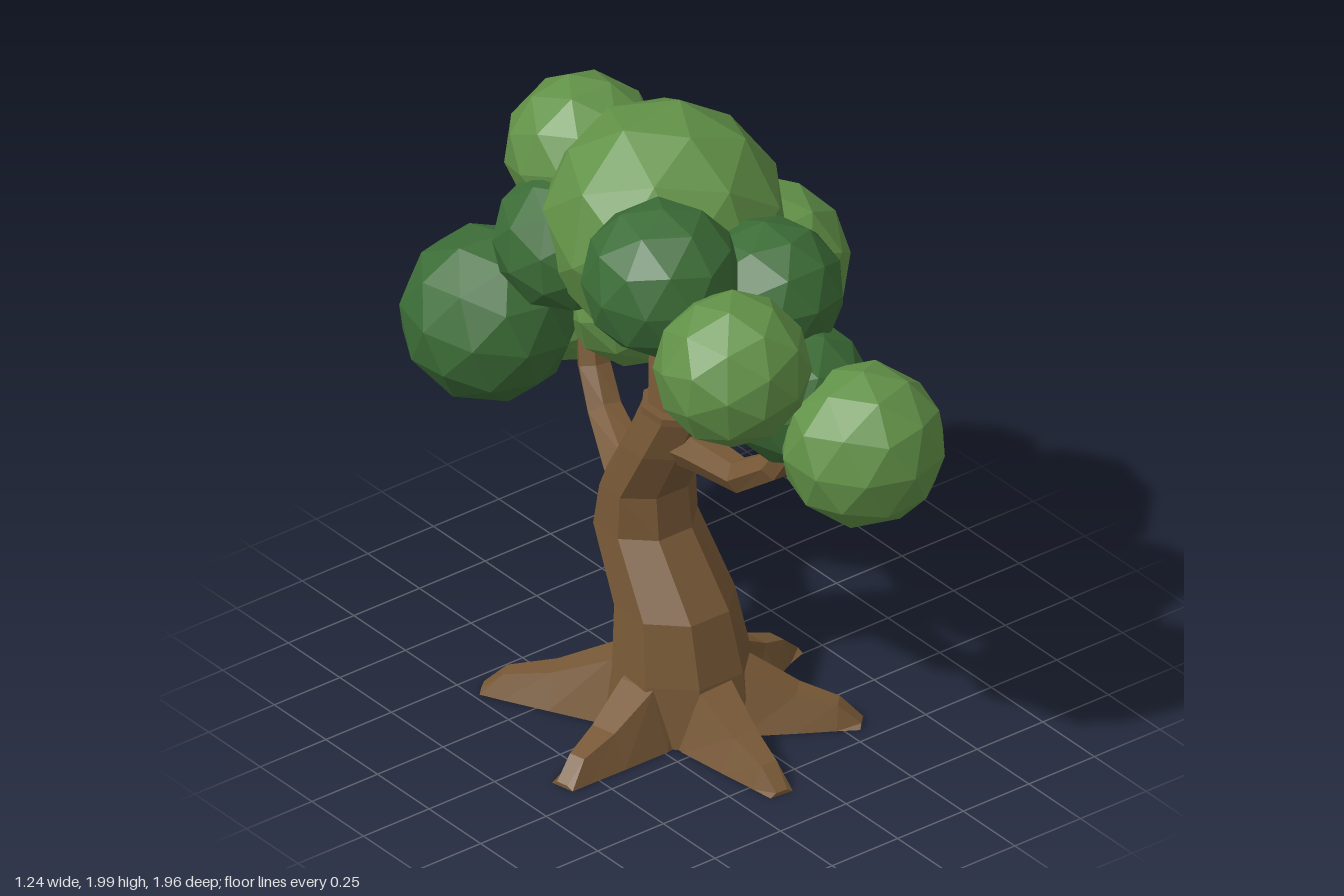
import * as THREE from 'three';

const V = (x, y, z) => new THREE.Vector3(x, y, z);

// Skin a list of equal-length rings into a closed, faceted solid
function loft(rings) {
  const pos = [];
  const tri = (...p) => p.forEach((v) => pos.push(v.x, v.y, v.z));
  const n = rings[0].length;
  for (let i = 0; i < rings.length - 1; i++) {
    const a = rings[i], b = rings[i + 1];
    for (let j = 0; j < n; j++) {
      const k = (j + 1) % n;
      tri(a[j], b[j], b[k]);
      tri(a[j], b[k], a[k]);
    }
  }
  const first = rings[0], last = rings[rings.length - 1];
  for (let j = 1; j < n - 1; j++) {
    tri(first[0], first[j], first[j + 1]);
    tri(last[0], last[j + 1], last[j]);
  }
  const g = new THREE.BufferGeometry();
  g.setAttribute('position', new THREE.Float32BufferAttribute(pos, 3));
  g.computeVertexNormals();
  return g;
}

// Horizontal eight-sided ring with flat faces to the front and sides
function trunkRing([x, y, z, rx, rz]) {
  const ring = [];
  for (let j = 0; j < 8; j++) {
    const a = ((j + 0.5) / 8) * Math.PI * 2, s = 1 / Math.cos(Math.PI / 8);
    ring.push(V(x + Math.cos(a) * rx * s, y, z + Math.sin(a) * rz * s));
  }
  return ring;
}

// Six-sided tapering limb; each node is x, y, z, radius
function limb(nodes) {
  const pts = nodes.map((p) => V(p[0], p[1], p[2]));
  return loft(nodes.map((p, i) => {
    const dir = pts[Math.min(i + 1, pts.length - 1)].clone().sub(pts[Math.max(i - 1, 0)]).normalize();
    const e1 = V(1, 0, 0).addScaledVector(dir, -dir.x).normalize();
    const e2 = e1.clone().cross(dir);
    return Array.from({ length: 6 }, (_, j) => {
      const a = (j / 6) * Math.PI * 2;
      return pts[i].clone().addScaledVector(e1, Math.cos(a) * p[3]).addScaledVector(e2, Math.sin(a) * p[3]);
    });
  }));
}

// Root running over the ground from the trunk to a tip
function root(tx, tz) {
  const c = V(-0.07, 0, 0.03);
  const dir = V(tx, 0, tz).sub(c);
  const len = dir.length();
  dir.normalize();
  const side = dir.clone().cross(V(0, 1, 0));
  // distance, half width, height
  const sections = [[0.1, 0.12, 0.23], [0.2, 0.12, 0.19], [0.2 + (len - 0.2) * 0.45, 0.085, 0.11],
    [len - 0.07, 0.055, 0.075], [len, 0.04, 0.012]];
  return loft(sections.map(([d, w, h]) =>
    [[w, 0], [w * 0.5, h], [-w * 0.5, h], [-w, 0]].map(([s, y]) =>
      c.clone().addScaledVector(dir, d).addScaledVector(side, s).setY(y))));
}

export function createModel() {
  const tree = new THREE.Group();
  tree.name = 'tree';
  const material = (name, color) => {
    const m = new THREE.MeshStandardMaterial({ color, flatShading: true });
    m.name = name;
    return m;
  };
  const bark = material('bark brown', 0x775836);
  const light = material('light leaf green', 0x629248);
  const dark = material('dark leaf green', 0x3c6d37);

  const add = (name, geometry, mat) => {
    const mesh = new THREE.Mesh(geometry, mat);
    mesh.name = name;
    tree.add(mesh);
    return mesh;
  };

  // Bent trunk: x, y, z, half width, half depth
  add('trunk', loft([
    [-0.065, 0, 0.03, 0.22, 0.22],
    [-0.065, 0.2, 0.033, 0.2, 0.195],
    [-0.07, 0.4, 0.008, 0.175, 0.172],
    [-0.073, 0.62, -0.13, 0.152, 0.145],
    [-0.073, 0.76, -0.12, 0.145, 0.12],
    [-0.075, 0.94, -0.025, 0.13, 0.115],
    [-0.08, 1.08, 0.04, 0.105, 0.115],
    [-0.08, 1.105, 0.043, 0.105, 0.118],
  ].map(trunkRing)), bark);

  // Thinner stem rising into the crown
  add('upperStem', loft([
    [-0.08, 1.08, 0.03, 0.08, 0.09],
    [-0.07, 1.22, 0.01, 0.075, 0.08],
    [-0.03, 1.45, -0.06, 0.06, 0.06],
  ].map(trunkRing)), bark);

  add('frontBranch', limb([[-0.08, 0.96, -0.02, 0.075], [-0.08, 0.98, 0.15, 0.065],
    [-0.08, 0.99, 0.34, 0.055], [-0.06, 1.08, 0.47, 0.05], [-0.02, 1.22, 0.55, 0.04]]), bark);
  add('backBranch', limb([[-0.05, 0.67, -0.14, 0.085], [-0.04, 0.72, -0.26, 0.08],
    [0.01, 0.81, -0.43, 0.06], [0.03, 0.93, -0.51, 0.055], [0.05, 1.15, -0.56, 0.045]]), bark);

  // Roots by tip position
  [[0.32, 0.42], [-0.12, 0.59], [-0.61, 0.15], [-0.45, -0.44], [0.25, -0.45], [0.42, -0.04]]
    .forEach(([x, z], i) => add(`root${i + 1}`, root(x, z), bark));

  // Leaf clumps: x, y, z, radius, material
  [
    [0.08, 1.23, 0.73, 0.255, light],
    [-0.28, 1.55, 0.555, 0.24, light],
    [0.03, 1.31, 0.465, 0.23, dark],
    [-0.3, 1.19, -0.6, 0.275, dark],
    [0.155, 1.08, -0.725, 0.262, light],
    [0, 1.63, -0.135, 0.377, light],
    [0.365, 1.36, -0.105, 0.258, light],
    [-0.04, 1.73, -0.475, 0.24, light],
    [0.05, 1.58, 0.315, 0.23, dark],
    [-0.27, 1.69, 0.2, 0.246, dark],
    [0.08, 1.235, -0.37, 0.232, light],
    [-0.19, 1.53, -0.36, 0.23, dark],
  ].forEach(([x, y, z, r, mat], i) => {
    const clump = add(`leafClump${i + 1}`, new THREE.IcosahedronGeometry(r, 1), mat);
    clump.position.set(x, y, z);
    clump.rotation.set(i * 0.7, i * 1.3, 0.55);
  });

  return tree;
}
